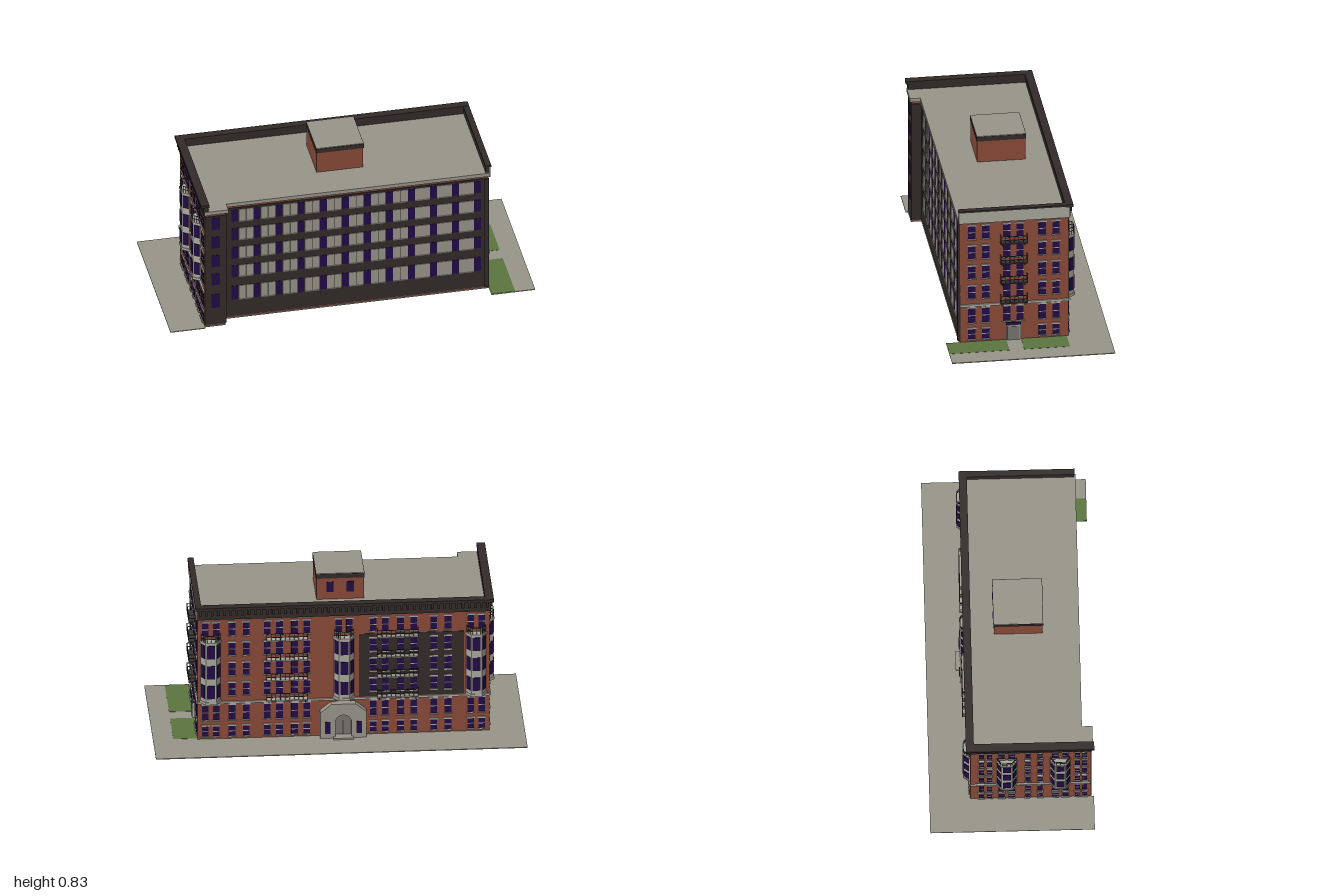
import * as THREE from 'three';

const mat = (name, color) => {
  const m = new THREE.MeshStandardMaterial({ color });
  m.name = name;
  return m;
};

export function createModel() {
  const brick = mat('red brick', 0x8a4a38), dark = mat('dark cladding', 0x322b29), glass = mat('window glass', 0x220b45);
  const stone = mat('light stone', 0xaaa89d), concrete = mat('concrete grey', 0x98958a), grass = mat('grass', 0x5b753f);
  const iron = mat('iron', 0x3a3535), door = mat('door grey', 0x77756c);

  const model = new THREE.Group();
  model.name = 'apartmentBuilding';
  const plot = new THREE.Group();
  plot.name = 'rotatedPlot';
  plot.rotation.y = 0.281;
  model.add(plot);

  const add = (parent, name, geo, m) => {
    const mesh = new THREE.Mesh(geo, m);
    mesh.name = name;
    parent.add(mesh);
    return mesh;
  };
  // box given by its limits on each axis
  const box = (parent, name, m, x0, x1, y0, y1, z0, z1) => {
    const b = add(parent, name, new THREE.BoxGeometry(x1 - x0, y1 - y0, z1 - z0), m);
    b.position.set((x0 + x1) / 2, (y0 + y1) / 2, (z0 + z1) / 2);
    return b;
  };
  const outline = pts => new THREE.Shape(pts.map(p => new THREE.Vector2(p[0], p[1])));
  // horizontal slab from a plan outline (x, z)
  const slab = (parent, name, m, shape, y0, y1) => {
    const s = add(parent, name, new THREE.ExtrudeGeometry(shape, { depth: y1 - y0, bevelEnabled: false }), m);
    s.rotation.x = Math.PI / 2;
    s.position.y = y1;
    return s;
  };

  // paving with two lawns let into it
  const L = -0.745, R = 0.7, B = -0.21, F = 0.333, W = -0.64, WF = 0.385;
  const paving = outline([[-0.921, -0.412], [0.921, -0.412], [0.921, 0.402], [R, 0.402], [R, F + 0.005], [W, F + 0.005], [W, WF + 0.005], [L, WF + 0.005], [L, 0.402], [-0.921, 0.402]]);
  for (const [z0, z1] of [[-0.2, 0.028], [0.102, 0.4]]) {
    paving.holes.push(new THREE.Path([[0.702, z0], [0.702, z1], [0.82, z1], [0.82, z0]].map(p => new THREE.Vector2(...p))));
    box(plot, 'lawn', grass, 0.702, 0.82, 0, 0.005, z0, z1);
  }
  slab(plot, 'paving', concrete, paving, 0, 0.004);

  // main block, roof and penthouse
  const plan = outline([[L, B], [R, B], [R, F], [W, F], [W, WF], [L, WF]]);
  slab(plot, 'brickBody', brick, plan, 0.004, 0.67);
  slab(plot, 'roof', concrete, outline([[L, B], [R, B], [R, F + 0.012], [W + 0.012, F + 0.012], [W + 0.012, WF + 0.012], [L, WF + 0.012]]), 0.67, 0.69);
  box(plot, 'penthouse', brick, -0.133, 0.102, 0.69, 0.805, -0.078, 0.163);
  box(plot, 'penthouseBand', dark, -0.136, 0.105, 0.805, 0.829, -0.081, 0.166);
  box(plot, 'penthouseRoof', concrete, -0.134, 0.103, 0.829, 0.832, -0.079, 0.164);
  for (const x of [-0.065, 0.035]) box(plot, 'penthouseWindow', glass, x - 0.018, x + 0.018, 0.73, 0.785, -0.082, -0.077);

  // parapets and cornices
  box(plot, 'backParapet', dark, L - 0.008, R + 0.004, 0.665, 0.722, B - 0.008, B + 0.016);
  box(plot, 'backCornice', dark, L - 0.022, R + 0.012, 0.72, 0.735, B - 0.022, B + 0.018);
  box(plot, 'leftParapet', dark, L - 0.008, L + 0.018, 0.665, 0.722, B, WF + 0.008);
  box(plot, 'leftCornice', dark, L - 0.022, L + 0.02, 0.72, 0.735, B - 0.02, WF + 0.018);
  box(plot, 'rightParapet', dark, R - 0.016, R + 0.002, 0.67, 0.725, B, F + 0.006);
  box(plot, 'rightParapetFace', stone, R + 0.002, R + 0.008, 0.662, 0.724, B - 0.004, F + 0.006);
  box(plot, 'rightCap', dark, R - 0.018, R + 0.012, 0.724, 0.733, B, F + 0.008);
  for (let i = 0; i < 48; i++) {
    const x = L + 0.01 + i * 0.0303;
    box(plot, 'dentil', dark, x - 0.006, x + 0.006, 0.69, 0.722, B - 0.017, B - 0.006);
  }
  for (let i = 0; i < 20; i++) {
    const z = B + 0.01 + i * 0.0303;
    box(plot, 'dentil', dark, L - 0.017, L - 0.006, 0.69, 0.722, z - 0.006, z + 0.006);
  }

  // facade frames: x runs along the wall, z points outward
  const facade = (name, x, z, turn) => {
    const g = new THREE.Group();
    g.name = name;
    g.position.set(x, 0, z);
    g.rotation.y = turn;
    plot.add(g);
    return g;
  };
  const front = facade('frontFacade', 0, F, 0), wing = facade('wingFacade', 0, WF, 0);
  const back = facade('backFacade', 0, B, Math.PI);
  const right = facade('rightFacade', R, 0, Math.PI / 2), left = facade('leftFacade', L, 0, -Math.PI / 2);
  const rows = [[0.575, 0.645], [0.465, 0.533], [0.355, 0.422], [0.245, 0.312], [0.11, 0.19]];
  const ground = [0.02, 0.075];

  const sash = (g, x, [y0, y1], w = 0.036) => {
    box(g, 'window', glass, x - w / 2, x + w / 2, y0, y1, -0.002, 0.004);
    box(g, 'windowRail', stone, x - w / 2, x + w / 2, (y0 + y1) / 2 - 0.002, (y0 + y1) / 2 + 0.002, 0, 0.006);
    box(g, 'lintel', stone, x - w * 0.62, x + w * 0.62, y1, y1 + 0.008, 0, 0.006);
    box(g, 'sill', stone, x - w * 0.62, x + w * 0.62, y0 - 0.006, y0, 0, 0.009);
  };

  // front: dark cladding with bands of pale panels and narrow windows
  box(front, 'frontCladding', dark, W, R, 0.012, 0.655, -0.002, 0.004);
  box(wing, 'wingCladding', dark, L, W, 0.012, 0.655, -0.002, 0.004);
  box(plot, 'wingSideCladding', dark, W - 0.002, W + 0.005, 0.012, 0.655, F, WF + 0.004);
  box(front, 'frontPier', dark, R - 0.025, R, 0.012, 0.655, 0, 0.012);
  for (const [y0, y1] of rows) {
    for (let i = 0; i < 12; i++) {
      const x = -0.582 + i * 0.1113;
      box(front, 'frontWindow', glass, x - 0.018, x + 0.018, y0, y1, 0, 0.006);
      if (i === 11) continue;
      for (const s of [0.0185, 0.0565]) box(front, 'frontPanel', concrete, x + s, x + s + 0.0365, y0, y1, 0, 0.007);
      box(front, 'panelSill', stone, x + 0.0185, x + 0.093, y0 - 0.004, y0, 0, 0.011);
    }
    box(wing, 'wingWindow', glass, -0.712, -0.67, y0, y1, 0, 0.006);
  }

  // fire escape: platforms with railings on four floors
  const escape = (g, x, w, deck) => {
    for (const y of [0.218, 0.328, 0.438, 0.548]) {
      const a = x - w / 2, b = x + w / 2;
      box(g, 'escapeDeck', deck, a, b, y - 0.004, y + 0.003, 0, 0.03);
      for (const h of [0.018, 0.037]) {
        box(g, 'escapeRail', iron, a, b, y + h, y + h + 0.003, 0.028, 0.031);
        for (const e of [a, b - 0.003]) box(g, 'escapeEndRail', iron, e, e + 0.003, y + h, y + h + 0.003, 0, 0.03);
      }
      const n = Math.round(w / 0.022);
      for (let i = 0; i <= n; i++) {
        const p = a + (w - 0.0025) * i / n;
        box(g, 'escapeBaluster', iron, p, p + 0.0025, y, y + 0.038, 0.028, 0.031);
      }
      for (const e of [a + 0.01, b - 0.014]) box(g, 'escapeBracket', iron, e, e + 0.004, y - 0.02, y - 0.004, 0, 0.018);
    }
  };

  // three-sided bay with windows and a railed top
  const bay = (g, x, floors = rows.slice(1, 4)) => {
    const b = new THREE.Group();
    b.name = 'bayWindow';
    b.position.x = x;
    g.add(b);
    const half = s => outline([[-0.05 * s, 0], [0.05 * s, 0], [0.026 * s, 0.033 * s], [-0.026 * s, 0.033 * s]]);
    slab(b, 'bayShaft', stone, half(1), 0.215, 0.545);
    slab(b, 'bayBase', stone, half(1.08), 0.208, 0.222);
    slab(b, 'bayCap', stone, half(1.1), 0.54, 0.55);
    for (const [px, pz, turn, w] of [[0, 0.033, 0, 0.04], [0.038, 0.0165, 0.942, 0.028], [-0.038, 0.0165, -0.942, 0.028]]) {
      const side = new THREE.Group();
      side.name = 'baySide';
      side.position.set(px, 0, pz);
      side.rotation.y = turn;
      b.add(side);
      for (const [y0, y1] of floors) box(side, 'bayWindowPane', glass, -w / 2, w / 2, y0 - 0.004, y1, -0.002, 0.003);
      for (const y of [0.567, 0.585]) box(side, 'bayRail', iron, -w * 0.62, w * 0.62, y, y + 0.003, -0.002, 0.001);
      for (const p of [-0.5, 0, 0.5]) box(side, 'bayRailPost', iron, p * w - 0.001, p * w + 0.001, 0.55, 0.588, -0.002, 0.001);
    }
  };

  // right end
  for (const v of [0.274, 0.205, 0.1, 0.033, -0.078, -0.146]) {
    for (const r of rows) sash(right, -v, r);
    if (v > 0.15 || v < 0) sash(right, -v, ground);
  }
  box(right, 'beltCourse', stone, -F, -B, 0.2, 0.212, 0, 0.008);
  escape(right, -0.065, 0.135, iron);
  box(right, 'doorFrame', stone, -0.104, -0.03, 0.004, 0.085, 0, 0.008);
  for (const x of [-0.098, -0.066]) box(right, 'sideDoor', door, x, x + 0.03, 0.006, 0.079, 0.004, 0.011);
  box(right, 'doorTransom', glass, -0.104, -0.03, 0.085, 0.1, 0, 0.008);

  // left end with two bays
  for (const v of [-0.155, -0.115, 0.075, 0.135, 0.32, 0.355]) for (const r of [...rows, ground]) sash(left, v, r, 0.026);
  for (const v of [-0.03, 0.235]) {
    bay(left, v);
    for (const s of [-0.025, 0.025]) for (const r of [rows[0], rows[4], ground]) sash(left, v + s, r, 0.03);
  }
  box(left, 'beltCourse', stone, B, WF, 0.2, 0.21, 0, 0.008);

  // back street front: three bays, two fire escapes, dark infill
  box(back, 'darkInfill', dark, 0.1, 0.62, 0.214, 0.558, -0.002, 0.003);
  for (const u of [0.53, 0.46, 0.355, 0.295, 0.22, 0.16, -0.17, -0.23, -0.305, -0.37, -0.47, -0.54]) {
    for (const r of [...rows, ground]) sash(back, -u, r, 0.033);
  }
  for (const u of [0.636, -0.025, -0.68]) {
    bay(back, -u);
    for (const s of [-0.027, 0.027]) {
      sash(back, -u + s, rows[0], 0.032);
      if (u !== -0.025) for (const r of [rows[4], ground]) sash(back, -u + s, r, 0.032);
    }
  }
  box(back, 'beltCourse', stone, -R, -L, 0.2, 0.21, 0, 0.008);
  escape(back, -0.258, 0.205, stone);
  escape(back, 0.29, 0.205, concrete);

  // entrance porch with an arched opening
  const porch = outline([[-0.115, 0.004], [0.115, 0.004], [0.115, 0.145], [0.06, 0.19], [-0.06, 0.19], [-0.115, 0.145]]);
  const arch = new THREE.Path();
  arch.moveTo(-0.04, 0.012);
  arch.lineTo(-0.04, 0.09);
  arch.absarc(0, 0.09, 0.04, Math.PI, 0, true);
  arch.lineTo(0.04, 0.012);
  arch.closePath();
  porch.holes.push(arch);
  add(back, 'entrancePorch', new THREE.ExtrudeGeometry(porch, { depth: 0.035, bevelEnabled: false, curveSegments: 10 }), concrete).position.x = 0.02;
  box(back, 'entranceDoor', door, -0.022, 0.062, 0.004, 0.135, 0, 0.008);
  box(back, 'doorGap', iron, 0.018, 0.022, 0.012, 0.09, 0.004, 0.01);
  for (const x of [-0.058, 0.098]) box(back, 'porchWindow', glass, x - 0.014, x + 0.014, 0.03, 0.095, 0.032, 0.039);
  box(back, 'entranceStep', concrete, -0.03, 0.07, 0.004, 0.012, 0.03, 0.055);

  return model;
}
